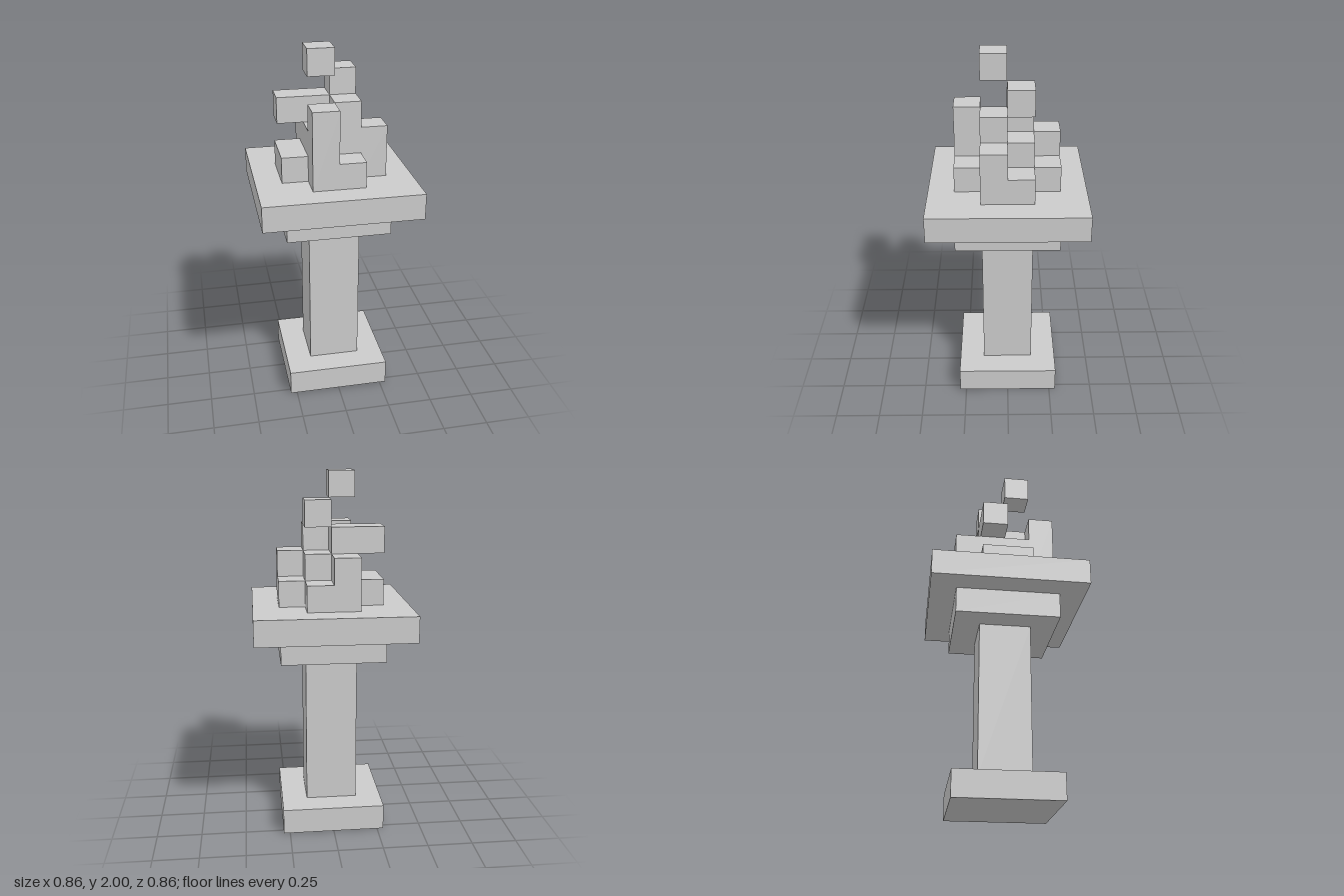
import * as THREE from 'three';

const U = 1 / 7; // edge of one block

export function createModel() {
  const model = new THREE.Group();
  const material = new THREE.MeshStandardMaterial({ color: 0xcccccc, flatShading: true });

  // Box given by its lowest corner and size, counted in blocks
  const block = (parent, name, [x, y, z], [w, h, d]) => {
    const mesh = new THREE.Mesh(new THREE.BoxGeometry(w * U, h * U, d * U), material);
    mesh.position.set((x + w / 2) * U, (y + h / 2) * U, (z + d / 2) * U);
    mesh.name = name;
    parent.add(mesh);
  };

  // Stand: centred square tiers as [name, width, bottom, height]
  const tiers = [
    ['foot', 4, 0, 1],
    ['pillar', 2, 1, 6],
    ['lowerBowl', 4, 7, 1],
    ['upperBowl', 6, 8, 1],
  ];
  for (const [name, w, y, h] of tiers) block(model, name, [-w / 2, y, -w / 2], [w, h, w]);

  // Flame: column heights, rows from back to front, entries from -x to +x
  const flame = new THREE.Group();
  flame.name = 'flame';
  const heights = [
    [0, 2, 1, 0],
    [1, 2, 2, 1],
    [1, 2, 3, 2],
    [0, 3, 1, 0],
  ];
  heights.forEach((row, k) => row.forEach((h, i) => {
    if (h) block(flame, 'flameColumn', [i - 2, 9, k - 2], [1, h, 1]);
  }));

  // Overhanging tongue and loose sparks above the columns
  block(flame, 'flameTongue', [-2, 11, -1], [2, 1, 1]);
  block(flame, 'lowerSpark', [0, 12, -1], [1, 1, 1]);
  block(flame, 'upperSpark', [-1, 13, 0], [1, 1, 1]);
  model.add(flame);

  return model;
}
